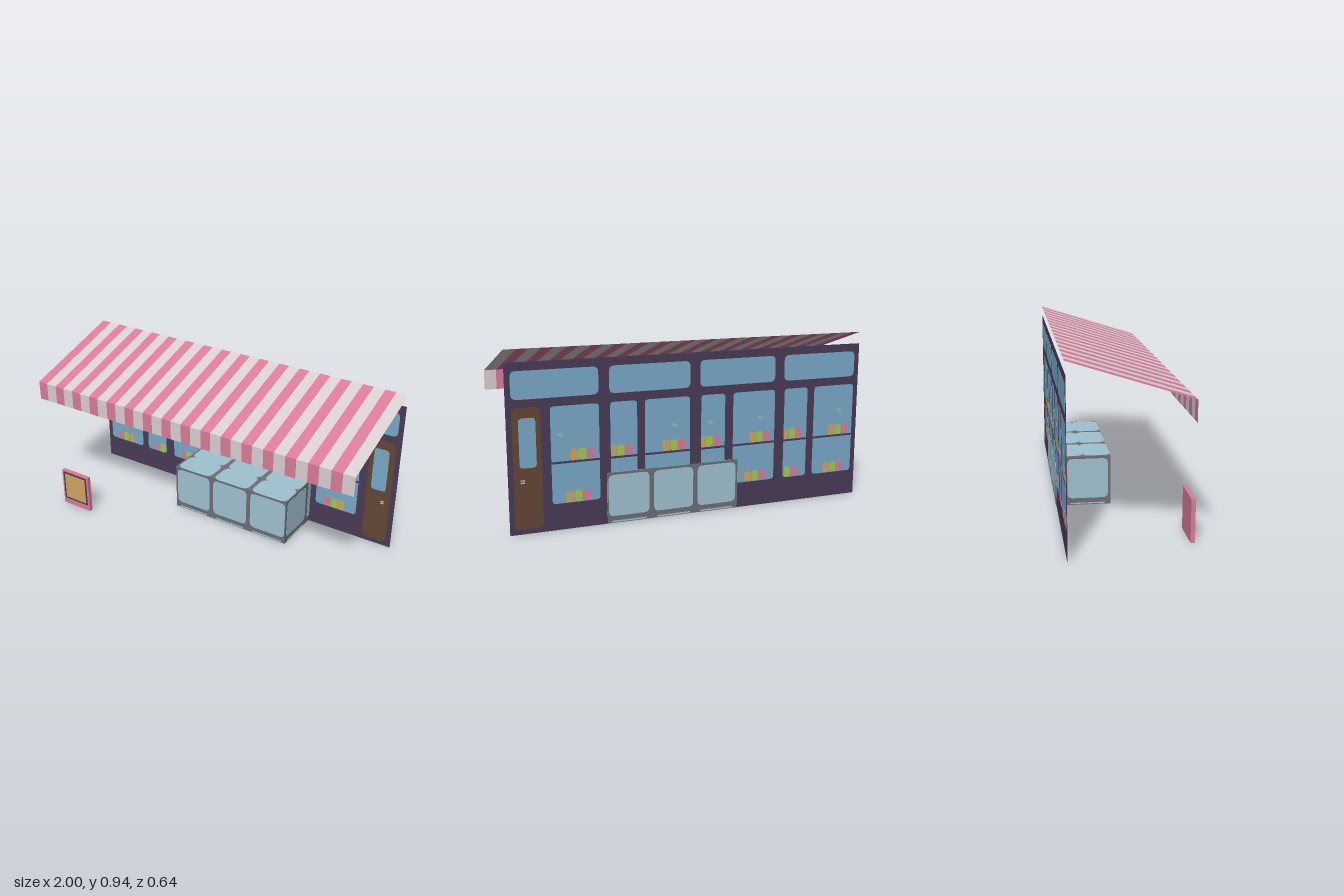
import * as THREE from 'three';

const mat = (name, color, side = THREE.FrontSide) => {
  const m = new THREE.MeshStandardMaterial({ color, side });
  m.name = name;
  return m;
};

// Rounded rectangle centred on the origin
function roundedRect(w, h, r) {
  const s = new THREE.Shape(), x = w / 2, y = h / 2;
  r = Math.min(r, x * 0.98, y * 0.98);
  s.moveTo(-x + r, -y);
  s.lineTo(x - r, -y).quadraticCurveTo(x, -y, x, -y + r);
  s.lineTo(x, y - r).quadraticCurveTo(x, y, x - r, y);
  s.lineTo(-x + r, y).quadraticCurveTo(-x, y, -x, y - r);
  s.lineTo(-x, -y + r).quadraticCurveTo(-x, -y, -x + r, -y);
  return s;
}

// Thin plate, centred in depth so that it shows on both sides
function plateGeometry(w, h, r, depth) {
  const g = new THREE.ExtrudeGeometry(roundedRect(w, h, r), { depth, bevelEnabled: false, curveSegments: 5 });
  return g.translate(0, 0, -depth / 2);
}

function add(parent, name, geometry, material, x = 0, y = 0, z = 0) {
  const m = new THREE.Mesh(geometry, material);
  m.name = name;
  m.position.set(x, y, z);
  parent.add(m);
  return m;
}

function subgroup(parent, name) {
  const g = new THREE.Group();
  g.name = name;
  parent.add(g);
  return g;
}

export function createModel() {
  const model = new THREE.Group();
  model.name = 'shopfront';
  const white = mat('awning white', 0xdccfd3, THREE.DoubleSide);
  const pink = mat('pink', 0xdb7c9b, THREE.DoubleSide);
  const purple = mat('wall purple', 0x4a3b57);
  const blue = mat('window blue', 0x79a9c9);
  const brown = mat('door brown', 0x644734);
  const grey = mat('counter grey', 0x6d6f79);
  const glass = mat('counter glass', 0xa1c2d1);
  const tan = mat('tan', 0xd0a75f);
  const green = mat('green', 0xa6cb4a);

  // Facade: layered thin plates, thicker layers sit proud on both faces
  const facade = subgroup(model, 'facade');
  facade.position.z = -0.315;
  const plate = (name, material, x0, x1, y0, y1, r, depth) =>
    add(facade, name, plateGeometry(x1 - x0, y1 - y0, r, depth), material, (x0 + x1) / 2, (y0 + y1) / 2);
  add(facade, 'wall', new THREE.BoxGeometry(2, 0.875, 0.002), purple, 0, 0.4375, 0);

  // Upper row of windows
  for (const x of [-0.75, -0.25, 0.25, 0.75])
    plate('upperWindow', blue, x - 0.222, x + 0.222, 0.69, 0.832, 0.03, 0.004);

  // Shop windows with a shelf and two rows of goods
  const windows = [[-0.972, -0.72], [-0.677, -0.533], [-0.474, -0.222], [-0.174, -0.035],
    [0.03, 0.282], [0.324, 0.469], [0.528, 0.78]];
  const goods = [pink, green, tan];
  windows.forEach(([x0, x1], n) => {
    plate('shopWindow', blue, x0, x1, 0.14, 0.645, 0.02, 0.004);
    plate('shelf', purple, x0, x1, 0.349, 0.36, 0.002, 0.006);
    for (const [shift, y] of [[0.027, 0.36], [0.052, 0.141]])
      goods.forEach((m, i) => {
        const a = x0 + shift + i * 0.044, b = Math.min(a + 0.04, x1);
        if (b - a > 0.008) plate('jar', m, a, b, y, y + 0.06, 0.016, 0.006);
      });
    // Glints
    if (n % 2 === 0 || n === 3) {
      const gx = x0 + (n === 6 ? 0.2 : 0.086);
      for (const [dx, len] of [[-0.007, 0.022], [0.007, 0.03]]) {
        const g = plateGeometry(0.007, len, 0.003, 0.006);
        add(facade, 'glint', g, glass, gx + dx, 0.497).rotation.z = -0.7;
      }
    }
  });

  // Door
  plate('door', brown, 0.828, 0.972, 0.025, 0.65, 0.03, 0.004);
  plate('doorWindow', blue, 0.854, 0.94, 0.343, 0.597, 0.02, 0.006);
  for (const y of [0.268, 0.28]) plate('doorHandle', white, 0.917, 0.938, y - 0.003, y + 0.003, 0.001, 0.006);

  // Awning: striped slope and hanging valance
  const awning = subgroup(model, 'awning');
  const profile = [[0.94, -0.32], [0.75, 0.28], [0.642, 0.28]];
  const stripe = (x0, x1, material, name) => {
    const p = [];
    for (let i = 0; i < 2; i++) {
      const [a, b] = [profile[i], profile[i + 1]];
      p.push(x0, ...a, x0, ...b, x1, ...b, x0, ...a, x1, ...b, x1, ...a);
    }
    const g = new THREE.BufferGeometry();
    g.setAttribute('position', new THREE.Float32BufferAttribute(p, 3));
    g.computeVertexNormals();
    add(awning, name, g, material);
  };
  for (let k = 0; k < 16; k++) {
    const x = -1 + k * 0.125;
    stripe(x, x + 0.06, pink, 'pinkStripe');
    stripe(x + 0.06, x + 0.125, white, 'whiteStripe');
  }

  // Display counter with panes on every face
  const counter = subgroup(model, 'counter');
  add(counter, 'counterBody', new THREE.BoxGeometry(0.742, 0.274, 0.298), grey, 0.12, 0.138, -0.17);
  const pane = (w, h, r, x, y, z, rx = 0, ry = 0) =>
    add(counter, 'pane', plateGeometry(w, h, r, 0.002), glass, x, y, z).rotation.set(rx, ry, 0);
  for (let i = 0; i < 3; i++) {
    const x = -0.127 + i * 0.25;
    for (const z of [-0.0205, -0.3195]) {
      pane(0.224, 0.222, 0.03, x, 0.15, z);
      pane(0.19, 0.008, 0.003, x, 0.009, z);
    }
    for (const y of [0.2755, 0.001])
      for (const z of [-0.0945, -0.2435]) pane(0.224, 0.149, 0.04, x, y, z, Math.PI / 2);
  }
  for (const x of [-0.2515, 0.4915]) {
    pane(0.222, 0.222, 0.03, x, 0.15, -0.145, 0, Math.PI / 2);
    pane(0.033, 0.222, 0.01, x, 0.15, -0.301, 0, Math.PI / 2);
    pane(0.19, 0.006, 0.003, x, 0.009, -0.145, 0, Math.PI / 2);
  }

  // Standing sign board
  const sign = subgroup(model, 'sign');
  sign.position.set(-0.75, 0, 0.306);
  add(sign, 'signBoard', new THREE.BoxGeometry(0.198, 0.226, 0.022), pink, 0, 0.113, 0);
  add(sign, 'signFrame', new THREE.BoxGeometry(0.174, 0.182, 0.003), purple, -0.002, 0.126, 0.0105);
  add(sign, 'signPanel', new THREE.BoxGeometry(0.152, 0.16, 0.003), tan, -0.002, 0.126, 0.0118);

  return model;
}
